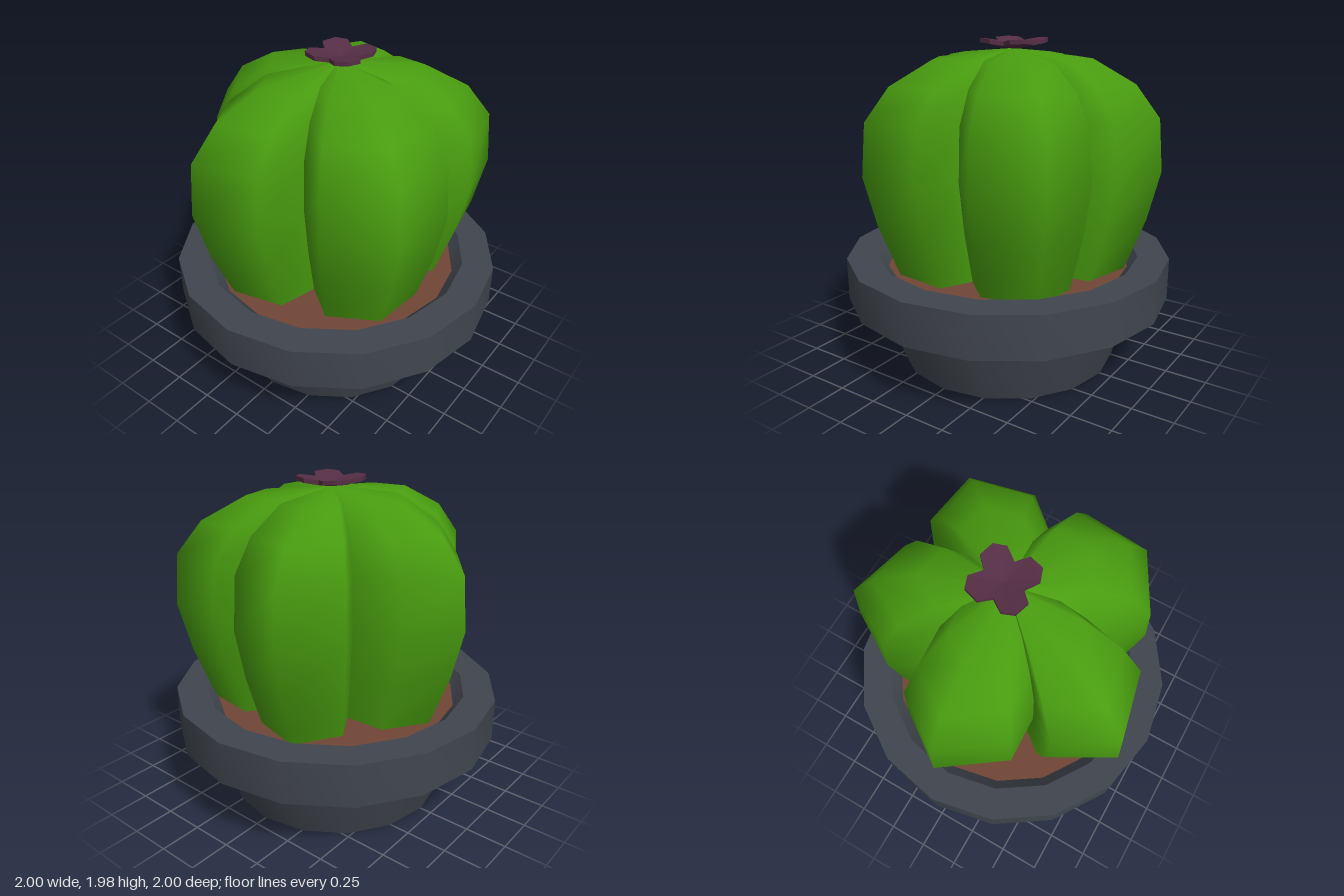
import * as THREE from 'three';
import { toCreasedNormals } from 'three/addons/utils/BufferGeometryUtils.js';

const mat = (name, color, side = THREE.FrontSide) => {
  const m = new THREE.MeshStandardMaterial({ color, side });
  m.name = name;
  return m;
};

// Each rib in plan: valley, corner, ridge, corner, valley (x, z)
const ribs = [
  [[0.50, 0.12], [0.77, 0.08], [0.87, -0.31], [0.54, -0.51], [0.31, -0.37]],
  [[0.31, -0.37], [0.29, -0.68], [-0.01, -0.89], [-0.36, -0.64], [-0.35, -0.37]],
  [[-0.35, -0.37], [-0.53, -0.52], [-0.87, -0.33], [-0.78, 0.07], [-0.48, 0.14]],
  [[-0.48, 0.14], [-0.68, 0.40], [-0.48, 0.76], [-0.06, 0.80], [0.06, 0.57]],
  [[0.06, 0.57], [0.27, 0.76], [0.68, 0.67], [0.73, 0.30], [0.50, 0.12]],
];

// Cactus side profile: height and plan scale
const levels = [
  [0.55, 0.76], [0.675, 0.815], [0.93, 0.92], [1.23, 1],
  [1.54, 0.97], [1.73, 0.81], [1.87, 0.53], [1.92, 0],
];

// Skin one rib by scaling its plan section up the profile
function ribGeometry(section) {
  const pos = [], index = [], n = section.length, axisX = 0.03;
  for (const [y, s] of levels) {
    for (const [x, z] of section) pos.push(axisX + (x - axisX) * s, y, z * s);
  }
  for (let j = 0; j < levels.length - 1; j++) {
    for (let i = 0; i < n - 1; i++) {
      const a = j * n + i, b = a + 1, c = b + n, d = a + n;
      index.push(a, b, c);
      if (j < levels.length - 2) index.push(a, c, d);
    }
  }
  const g = new THREE.BufferGeometry();
  g.setAttribute('position', new THREE.Float32BufferAttribute(pos, 3));
  g.setIndex(index);
  g.computeVertexNormals();
  return g;
}

// Thin petal, tilted upwards away from the flower centre
function petalGeometry() {
  const pts = [[0, 0], [0.11, 0], [0.165, 0.075], [0.14, 0.145], [0.055, 0.17], [0, 0.115]];
  const shape = new THREE.Shape(pts.map(([x, y]) => new THREE.Vector2(x, y)));
  const g = new THREE.ExtrudeGeometry(shape, { depth: 0.025, bevelEnabled: false });
  g.rotateX(-Math.PI / 2);
  const p = g.attributes.position;
  for (let i = 0; i < p.count; i++) {
    p.setY(i, p.getY(i) + 0.2 * Math.hypot(p.getX(i), p.getZ(i)));
  }
  g.computeVertexNormals();
  return g;
}

export function createModel() {
  const model = new THREE.Group();
  const add = (parent, name, geometry, material) => {
    const mesh = new THREE.Mesh(geometry, material);
    mesh.name = name;
    parent.add(mesh);
    return mesh;
  };
  const potGrey = mat('slate grey', 0x41464e, THREE.DoubleSide);
  const soilBrown = mat('soil brown', 0x714637);
  const cactusGreen = mat('cactus green', 0x499c10, THREE.DoubleSide);
  const petalPurple = mat('petal purple', 0x562e45);

  // Sixteen-sided pot with a wide rim
  const profile = [[0, 0], [0.675, 0], [0.785, 0.38], [1, 0.415], [1, 0.675], [0.81, 0.675], [0.74, 0.6]]
    .map(([r, y]) => new THREE.Vector2(r, y));
  add(model, 'pot', toCreasedNormals(new THREE.LatheGeometry(profile, 16), 0.55), potGrey);

  // Soil
  const soil = new THREE.CircleGeometry(0.75, 16).rotateX(-Math.PI / 2);
  add(model, 'soil', soil, soilBrown).position.y = 0.61;

  // Ribbed cactus, creased along the valleys
  const cactus = new THREE.Group();
  cactus.name = 'cactus';
  for (const section of ribs) add(cactus, 'cactusRib', ribGeometry(section), cactusGreen);
  model.add(cactus);

  // Four-petal flower on top
  const flower = new THREE.Group();
  flower.name = 'flower';
  flower.position.set(0.045, 1.915, 0);
  const petal = petalGeometry();
  for (let i = 0; i < 4; i++) {
    add(flower, 'petal', petal, petalPurple).rotation.y = (i * Math.PI) / 2;
  }
  model.add(flower);
  return model;
}
